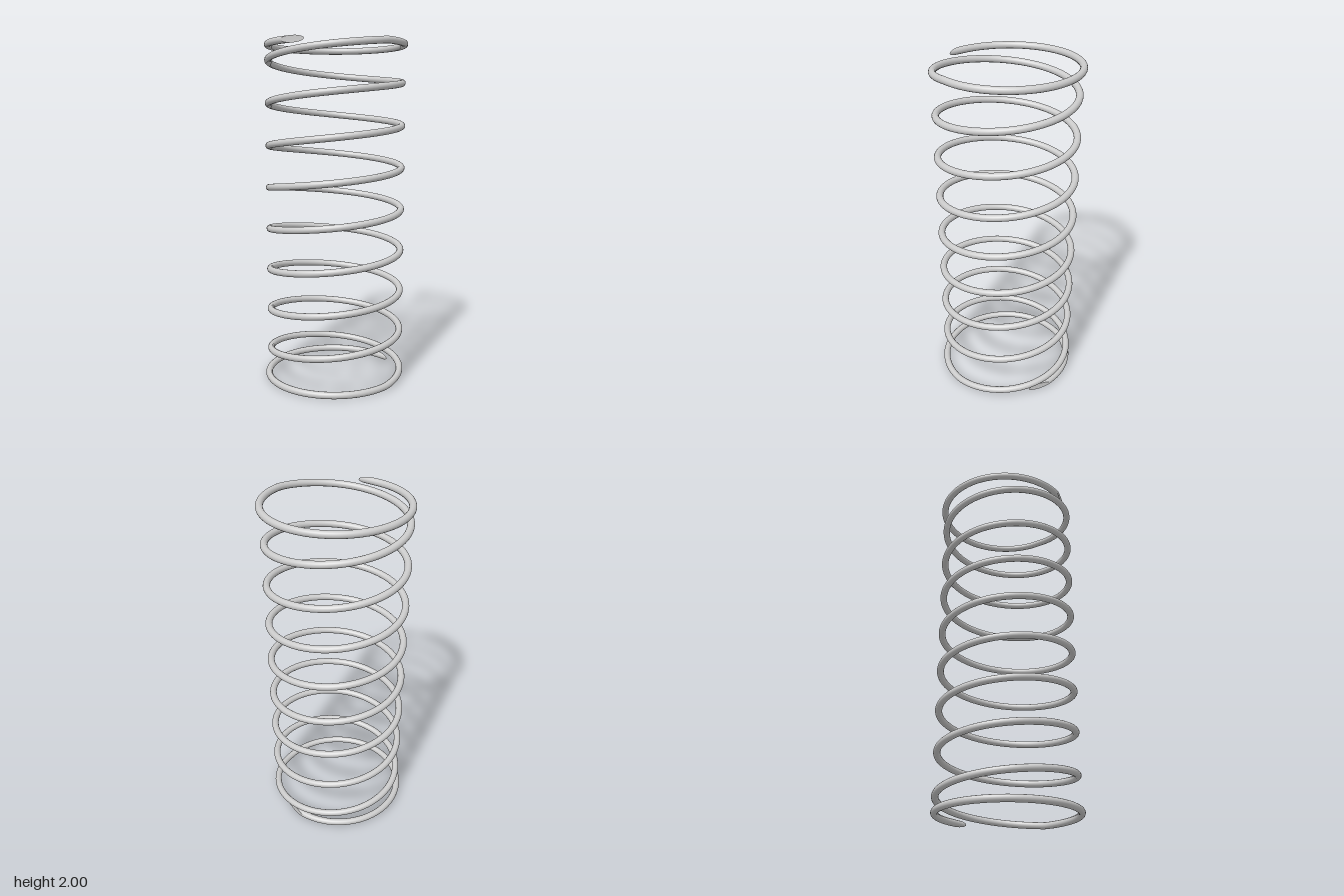
import * as THREE from 'three';
import { ParametricGeometry } from 'three/addons/geometries/ParametricGeometry.js';

const WIRE = 0.02;               // wire radius
const PITCH = 0.245;             // rise per active turn
const COIL = 0.39;               // radius of the active coils
const ACTIVE = 8 * Math.PI;      // four active turns in each half
const BEND_END = ACTIVE + 1.5 * Math.PI; // the closed end coil turns this far
const END_R = 0.383;

// Coil radius along the closed end, one point per quarter turn
const endRadius = new THREE.SplineCurve(
  [COIL, 0.397, 0.405, 0.4, END_R].map((r, i) => new THREE.Vector2(i, r)));

function coilRadius(a) {
  const q = (a - ACTIVE) / (Math.PI / 2);
  return q <= -1 ? COIL : endRadius.getPoint(Math.min((q + 1) / 4, 1)).y;
}

// Surface of the upper half: u runs along the wire from mid-height, v around it
function wireSurface(u, v, target) {
  const phi = v * 2 * Math.PI;
  const out = WIRE * Math.cos(phi);
  // The wire end is cut on a slant, longest on the inside
  const a = u * (BEND_END + (0.045 - 3.5 * out) / END_R);
  const bend = Math.min(a, BEND_END);
  const straight = (a - bend) * END_R;
  const r = coilRadius(bend) + out;
  const y = 1 + PITCH * Math.min(a, ACTIVE) / (2 * Math.PI);
  target.set(
    r * Math.sin(bend) + straight * Math.cos(bend),
    y + WIRE * Math.sin(phi),
    r * Math.cos(bend) - straight * Math.sin(bend));
}

// Flat face closing the slanted cut
function cutFace(sides) {
  const ring = [];
  for (let i = 0; i < sides; i++) {
    const p = new THREE.Vector3();
    wireSurface(1, i / sides, p);
    ring.push(p);
  }
  const index = [];
  for (let i = 1; i < sides - 1; i++) index.push(0, i + 1, i);
  const geometry = new THREE.BufferGeometry().setFromPoints(ring);
  geometry.setIndex(index);
  geometry.computeVertexNormals();
  return geometry;
}

export function createModel() {
  const model = new THREE.Group();
  model.name = 'compressionSpring';
  const material = new THREE.MeshStandardMaterial({ color: 0xcccccc });
  const coil = new ParametricGeometry(wireSurface, 400, 20);
  const cut = cutFace(20);

  // Both halves are the same, the lower one turned half a turn about the z axis
  for (const name of ['upper', 'lower']) {
    const half = new THREE.Group();
    half.name = name + 'Half';
    const wire = new THREE.Mesh(coil, material);
    wire.name = name + 'Coils';
    const end = new THREE.Mesh(cut, material);
    end.name = name + 'WireEnd';
    half.add(wire, end);
    if (name === 'lower') {
      half.rotation.z = Math.PI;
      half.position.y = 2;
    }
    model.add(half);
  }
  return model;
}
